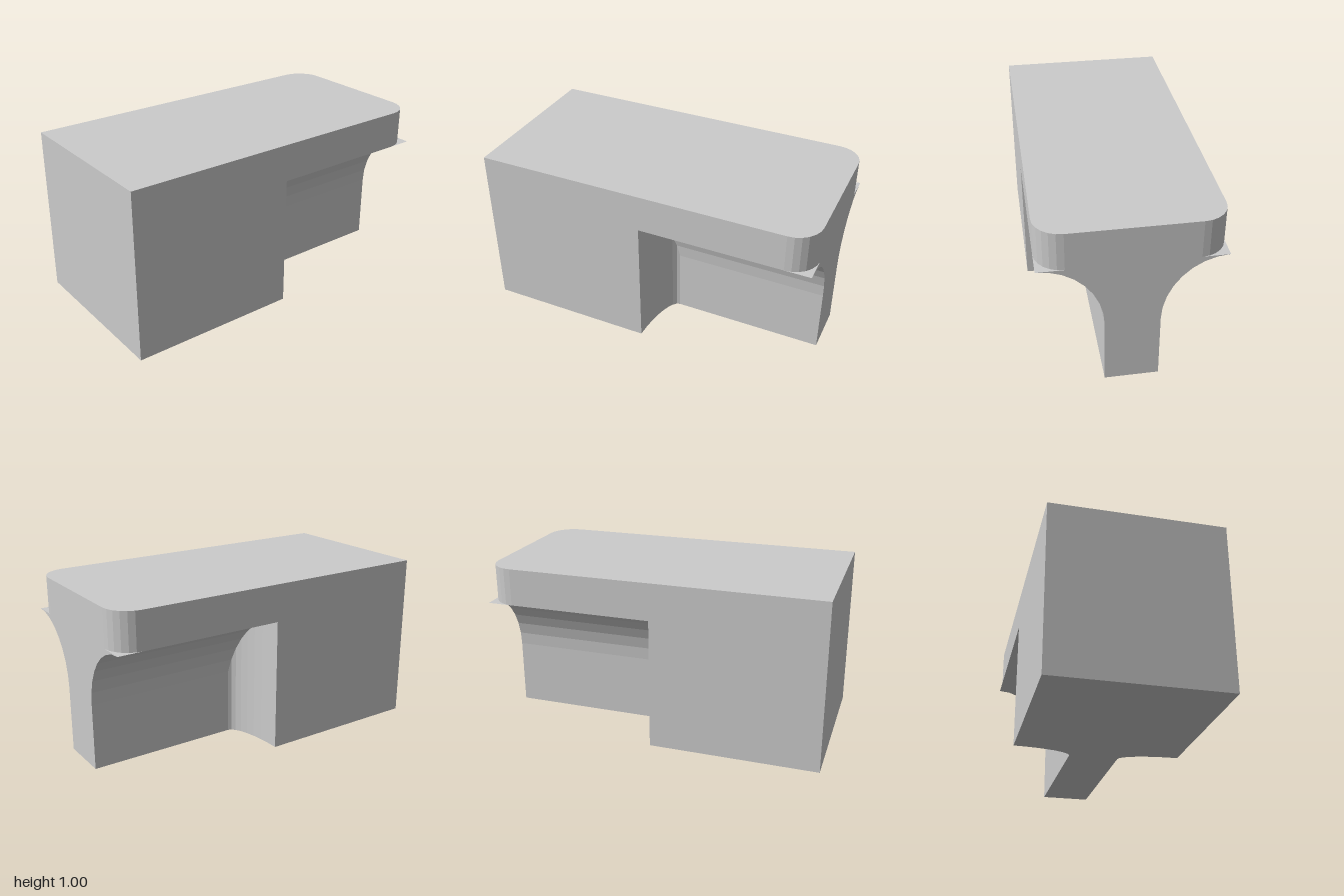
import * as THREE from 'three';

const PI = Math.PI;
const LEDGE = 0.78; // height where the top slab begins

// Points along an elliptical arc, as flat facets
function arc(cx, cy, rx, ry, from, to, n) {
  return Array.from({ length: n + 1 }, (_, i) => {
    const a = from + ((to - from) * i) / n;
    return new THREE.Vector2(cx + rx * Math.cos(a), cy + ry * Math.sin(a));
  });
}

const p = (x, y) => new THREE.Vector2(x, y);

function extrude(points, depth) {
  return new THREE.ExtrudeGeometry(new THREE.Shape(points), { depth, bevelEnabled: false });
}

export function createModel() {
  const group = new THREE.Group();
  const material = new THREE.MeshStandardMaterial({ color: 0xcccccc, flatShading: true });
  const add = (name, geometry) => {
    const mesh = new THREE.Mesh(geometry, material);
    mesh.name = name;
    group.add(mesh);
  };

  // Solid block with concave fillets leading into the stem (plan outline raised in y)
  add('mainBlock', extrude([
    p(-1, -0.5),
    ...arc(0.1, -0.5, 0.1, 0.35, PI, PI / 2, 8),
    ...arc(0.1, 0.5, 0.1, 0.35, -PI / 2, -PI, 8),
    p(-1, 0.5),
  ], LEDGE).rotateX(-PI / 2));

  // Narrow stem flaring out to full width under the slab (end outline run along x)
  add('flaredStem', extrude([
    ...arc(-0.5, 0.39, 0.35, 0.39, PI / 2, 0, 8),
    p(-0.15, 0),
    p(0.15, 0),
    ...arc(0.5, 0.39, 0.35, 0.39, PI, PI / 2, 8),
  ], 1).rotateY(PI / 2));

  // Top slab with two rounded corners
  const r = 0.15;
  add('topSlab', extrude([
    p(-1, -0.5),
    ...arc(1 - r, -0.5 + r, r, r, -PI / 2, 0, 6),
    ...arc(1 - r, 0.5 - r, r, r, 0, PI / 2, 6),
    p(-1, 0.5),
  ], 1 - LEDGE).rotateX(-PI / 2).translate(0, LEDGE, 0));

  return group;
}
